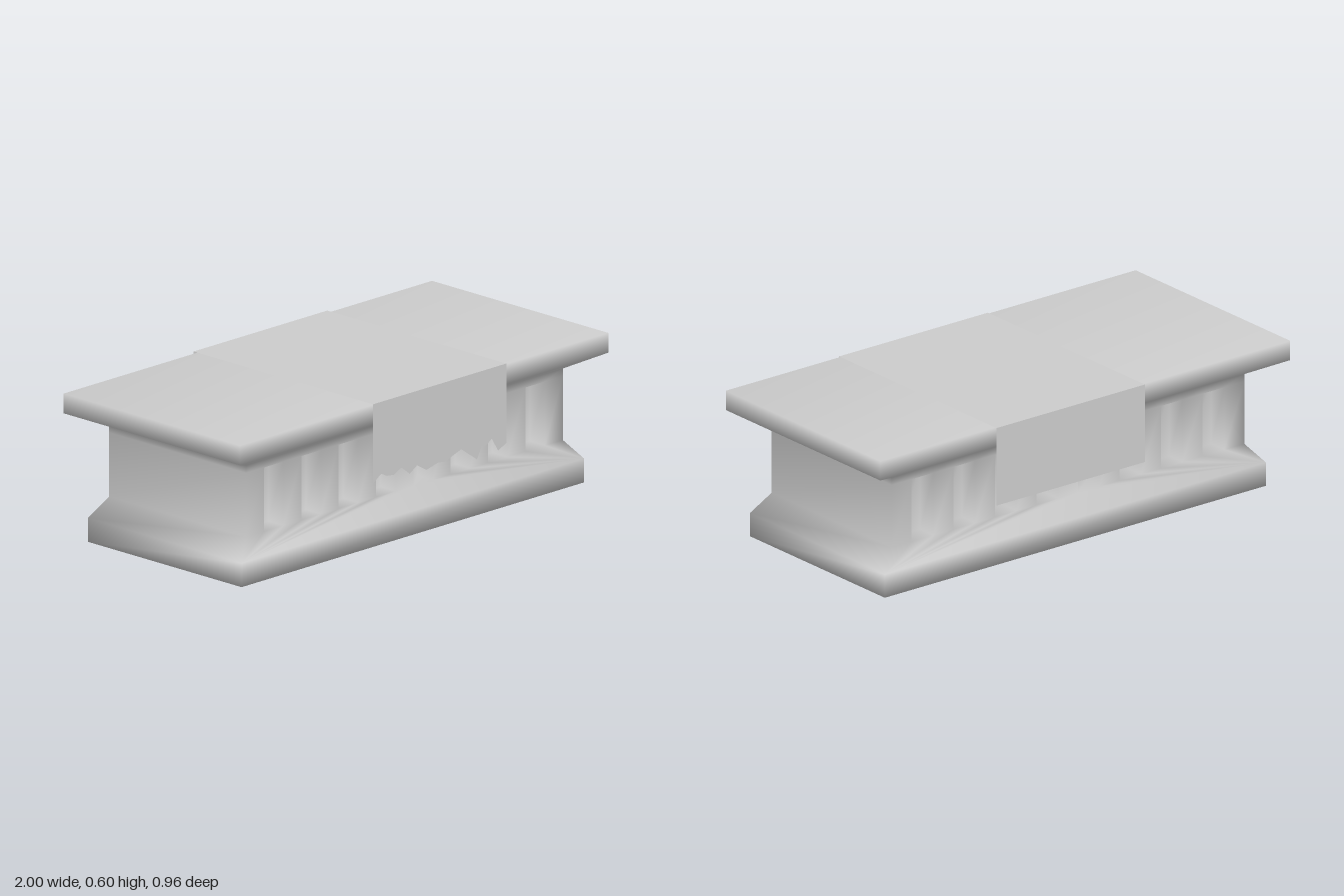
import * as THREE from 'three';
import { mergeVertices } from 'three/addons/utils/BufferGeometryUtils.js';

// Outline of the altar, bottom to top: [half width, height, half depth]
const levels = [
  [0.93, 0, 0.41], [0.93, 0.095, 0.41], [0.86, 0.175, 0.365],
  [0.86, 0.43, 0.365], [0.86, 0.46, 0.365], [1, 0.515, 0.47], [1, 0.594, 0.47],
];
const nicheCentres = [-0.71, -0.506, -0.304, -0.101, 0.101, 0.304, 0.506, 0.71];
const nicheHalf = 0.053, nicheDepth = 0.08;

function createBody() {
  const pos = [];
  const tri = (...corners) => corners.forEach((c) => pos.push(...c));
  const quad = (a, b, c, d) => { tri(a, b, c); tri(a, c, d); };

  // Column lines of the niched wall, from one end to the other
  const cols = [-0.86, ...nicheCentres.flatMap((x) => [x - nicheHalf, x + nicheHalf]), 0.86];
  const half = cols.length / 2;

  // s = 1 builds the front and left end, s = -1 the back and right end
  for (const s of [1, -1]) {
    const p = (x, y, z) => [s * x, y, s * z];

    for (let i = 0; i < levels.length - 1; i++) {
      const [w0, y0, d0] = levels[i], [w1, y1, d1] = levels[i + 1];
      // End face
      quad(p(w0, y0, d0), p(w0, y0, -d0), p(w1, y1, -d1), p(w1, y1, d1));
      // Long plain bands of the plinth and the table edge
      if (i === 0 || i === 5) quad(p(-w0, y0, d0), p(w0, y0, d0), p(w1, y1, d1), p(-w1, y1, d1));
    }

    // Sloping bands, fanned out from their corners to the wall columns
    const [w1, y1, d1] = levels[1], [, y2, d2] = levels[2];
    const [, y4] = levels[4], [w5, y5, d5] = levels[5];
    for (let c = 0; c < cols.length - 1; c++) {
      const e = c < half ? -1 : 1;
      tri(p(e * w1, y1, d1), p(cols[c + 1], y2, d2), p(cols[c], y2, d2));
      tri(p(e * w5, y5, d5), p(cols[c], y4, d2), p(cols[c + 1], y4, d2));
    }
    tri(p(-w1, y1, d1), p(w1, y1, d1), p(cols[half], y2, d2));
    tri(p(w5, y5, d5), p(-w5, y5, d5), p(cols[half], y4, d2));

    // Wall with piers and recessed niches
    const y3 = levels[3][1], zi = d2 - nicheDepth;
    for (let c = 0; c < cols.length - 1; c++) {
      const a = cols[c], b = cols[c + 1];
      quad(p(a, y3, d2), p(b, y3, d2), p(b, y4, d2), p(a, y4, d2));
      if (c % 2 === 0) {
        quad(p(a, y2, d2), p(b, y2, d2), p(b, y3, d2), p(a, y3, d2));
      } else {
        quad(p(a, y2, zi), p(b, y2, zi), p(b, y3, zi), p(a, y3, zi));
        quad(p(a, y2, d2), p(a, y2, zi), p(a, y3, zi), p(a, y3, d2));
        quad(p(b, y2, zi), p(b, y2, d2), p(b, y3, d2), p(b, y3, zi));
        quad(p(a, y2, d2), p(b, y2, d2), p(b, y2, zi), p(a, y2, zi));
        quad(p(a, y3, zi), p(b, y3, zi), p(b, y3, d2), p(a, y3, d2));
      }
    }
  }

  // Underside and table top
  const [wb, yb, db] = levels[0], [wt, yt, dt] = levels[6];
  quad([-wb, yb, -db], [wb, yb, -db], [wb, yb, db], [-wb, yb, db]);
  quad([-wt, yt, dt], [wt, yt, dt], [wt, yt, -dt], [-wt, yt, -dt]);

  let geometry = new THREE.BufferGeometry();
  geometry.setAttribute('position', new THREE.Float32BufferAttribute(pos, 3));
  geometry = mergeVertices(geometry, 1e-4);
  geometry.computeVertexNormals();
  return geometry.translate(0, 0, 0.006);
}

export function createModel() {
  const group = new THREE.Group();
  group.name = 'altar';
  const stone = new THREE.MeshStandardMaterial({ color: 0xcccccc });
  const fabric = new THREE.MeshStandardMaterial({ color: 0xcccccc, side: THREE.DoubleSide });

  const add = (parent, name, geometry, material) => {
    const mesh = new THREE.Mesh(geometry, material);
    mesh.name = name;
    parent.add(mesh);
    return mesh;
  };

  add(group, 'altarBody', createBody(), stone);

  // Cloth laid over the top, with a torn front hem and a straight back hem
  const cloth = new THREE.Group();
  cloth.name = 'cloth';
  group.add(cloth);
  const x0 = -0.28, x1 = 0.445, top = 0.597, z = 0.478, backHem = 0.28;
  const mid = (x0 + x1) / 2, width = x1 - x0;

  const hem = [
    [x0, 0.28], [-0.235, 0.31], [-0.205, 0.295], [-0.165, 0.29], [-0.125, 0.31],
    [-0.08, 0.275], [-0.04, 0.3], [0.01, 0.27], [0.075, 0.285], [0.11, 0.28],
    [0.2, 0.31], [0.285, 0.25], [0.31, 0.295], [0.335, 0.295], [0.365, 0.315],
    [0.4, 0.26], [x1, 0.28],
  ];
  const outline = [...hem, [x1, top], [x0, top]].map(([x, y]) => new THREE.Vector2(x, y));
  add(cloth, 'clothFront', new THREE.ShapeGeometry(new THREE.Shape(outline)).translate(0, 0, z), fabric);

  add(cloth, 'clothTop',
    new THREE.PlaneGeometry(width, 2 * z).rotateX(-Math.PI / 2).translate(mid, top, 0), fabric);
  add(cloth, 'clothBack',
    new THREE.PlaneGeometry(width, top - backHem).rotateY(Math.PI)
      .translate(mid, (top + backHem) / 2, -z), fabric);

  return group;
}
